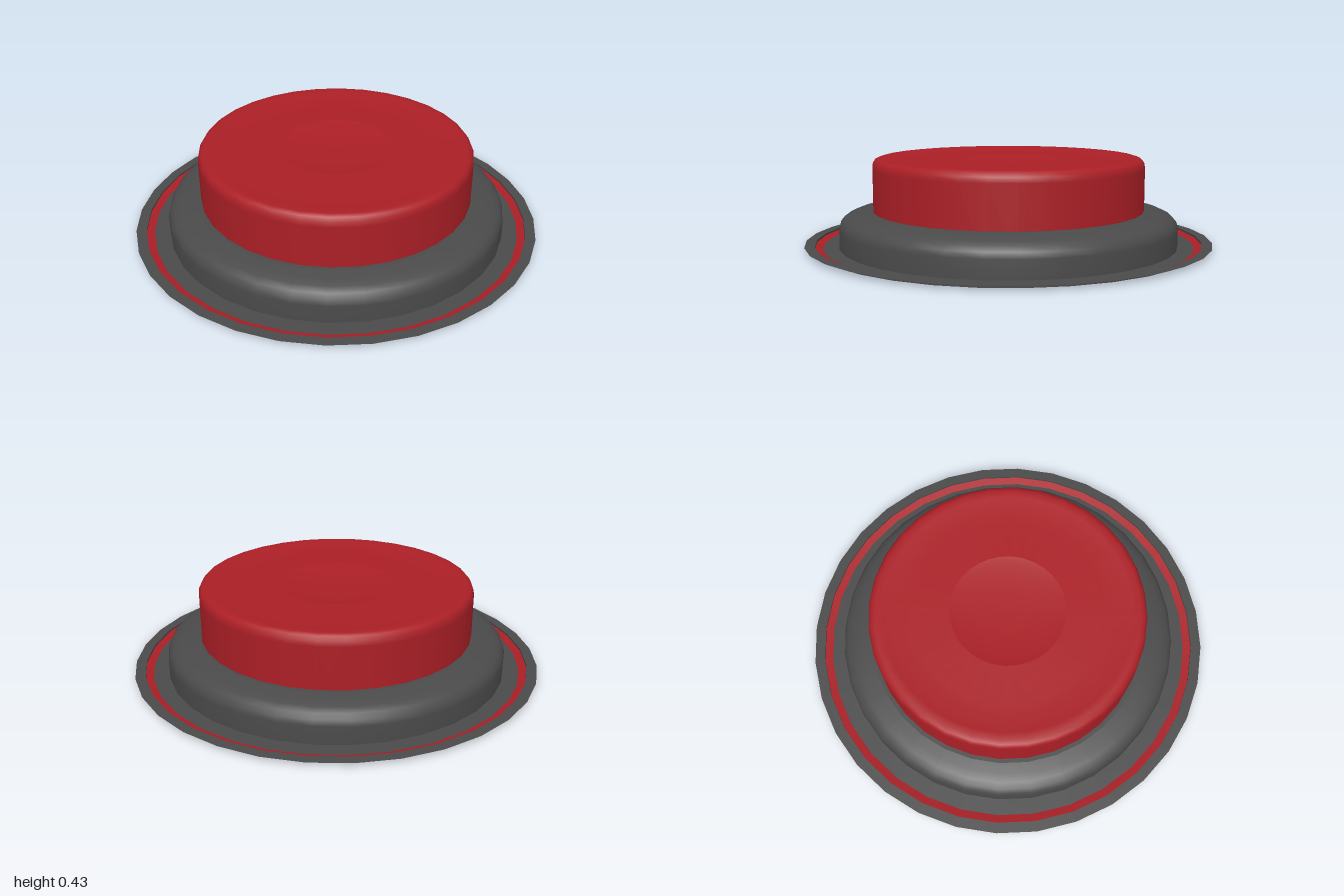
import * as THREE from 'three';

const SIDES = 32;

export function createModel() {
  const group = new THREE.Group();
  const red = new THREE.MeshStandardMaterial({ color: 0xab1f26, side: THREE.DoubleSide });
  const grey = new THREE.MeshStandardMaterial({ color: 0x4a4a4a, side: THREE.DoubleSide });

  // Revolves a [radius, height] profile, listed bottom-outside to top-inside
  function turned(name, profile, material) {
    const points = profile.map(([r, y]) => new THREE.Vector2(r, y));
    const mesh = new THREE.Mesh(new THREE.LatheGeometry(points, SIDES), material);
    mesh.name = name;
    group.add(mesh);
  }

  // Outer rim: a low upright band with a thin lip turned outwards
  turned('rimBand', [[0.95, 0], [0.95, 0.02]], grey);
  turned('rimLip', [[1, 0.02], [0.95, 0.02]], grey);

  // Red accent ring set inside the rim
  turned('accentRing', [[0.95, 0.01], [0.912, 0.002]], red);

  // Hollow base: flat flange, rounded housing and inner collar
  turned('baseFlange', [[0.912, 0.002], [0.835, 0.002]], grey);
  turned('baseHousing', [
    [0.835, 0.002], [0.835, 0.09], [0.828, 0.118], [0.81, 0.14],
    [0.78, 0.155], [0.74, 0.165], [0.69, 0.174],
  ], grey);
  turned('collarTop', [[0.69, 0.174], [0.668, 0.174]], grey);
  turned('collarWall', [[0.68, 0.002], [0.68, 0.174]], grey);

  // Push button with a rounded edge and a dished top
  turned('buttonWall', [
    [0.67, 0.002], [0.67, 0.38], [0.667, 0.405], [0.655, 0.423], [0.635, 0.43],
    [0.6, 0.427], [0.54, 0.419], [0.45, 0.416], [0.28, 0.416],
  ], red);
  turned('buttonDimple', [[0.28, 0.416], [0.24, 0.409], [0.16, 0.401], [0.08, 0.398], [0, 0.397]], red);

  // Closing plate under the button, with a narrow red edge around it
  turned('bottomEdge', [[0.662, 0.002], [0.67, 0.002]], red);
  turned('bottomPlate', [[0, 0.002], [0.662, 0.002]], grey);

  return group;
}
